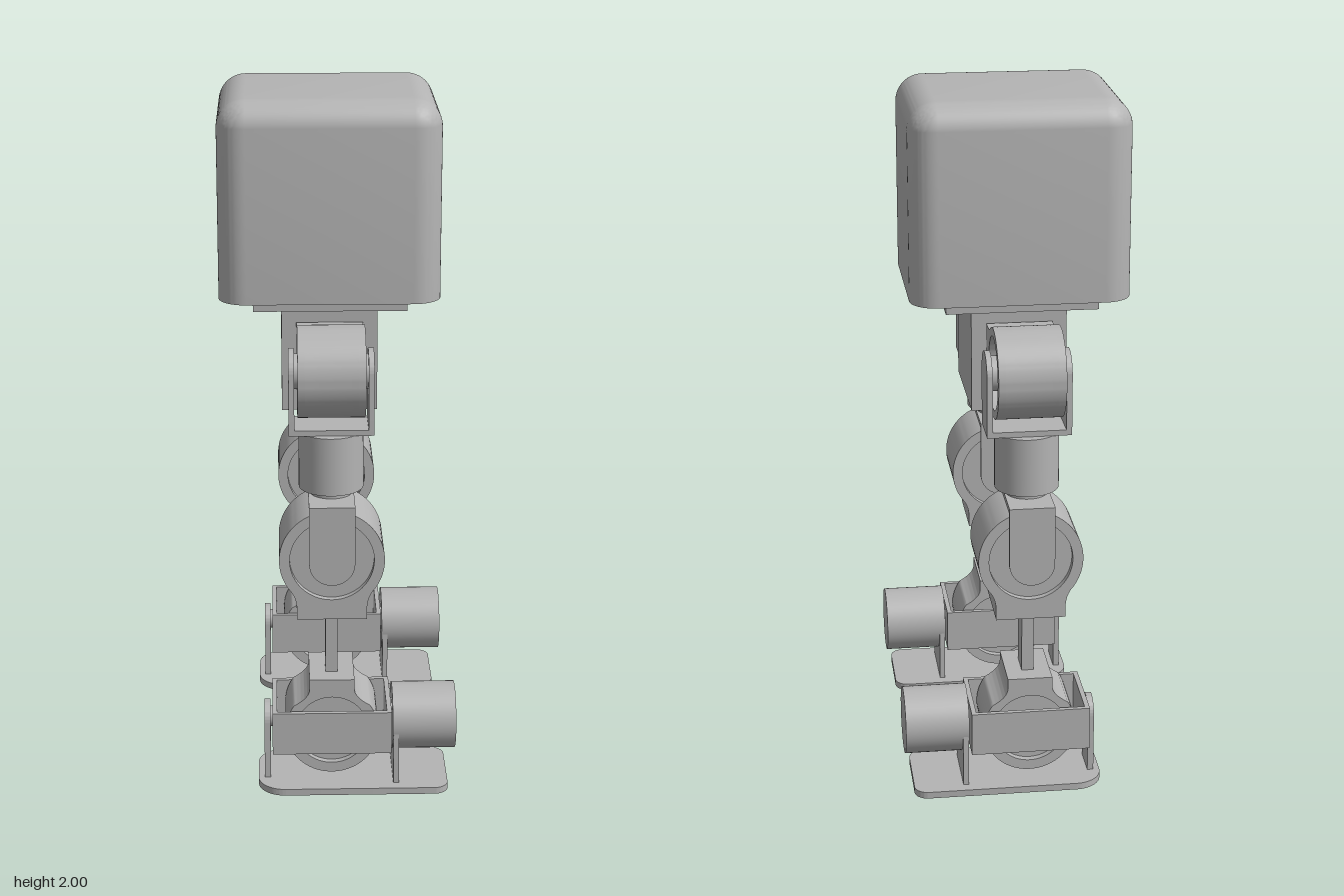
import * as THREE from 'three';
import { toCreasedNormals } from 'three/addons/utils/BufferGeometryUtils.js';
import { RoundedBoxGeometry } from 'three/addons/geometries/RoundedBoxGeometry.js';

const grey = new THREE.MeshStandardMaterial({ color: 0xb4b4b4 });
grey.name = 'plain grey';
const CX = -0.025; // centre line of the legs in x
const V = (x, y, z) => new THREE.Vector3(x, y, z);

function add(parent, name, geometry, x = 0, y = 0, z = 0) {
  const mesh = new THREE.Mesh(geometry, grey);
  mesh.name = name;
  mesh.position.set(x, y, z);
  parent.add(mesh);
  return mesh;
}

const box = (w, h, d) => new THREE.BoxGeometry(w, h, d);

function cylinder(r, length, axis) {
  const g = new THREE.CylinderGeometry(r, r, length, 48);
  if (axis === 'x') g.rotateZ(Math.PI / 2);
  if (axis === 'z') g.rotateX(Math.PI / 2);
  return g;
}

// Extrusion centred on z with smooth curves and sharp edges
function extrude(shape, depth) {
  const g = new THREE.ExtrudeGeometry(shape, { depth, bevelEnabled: false, curveSegments: 32 });
  g.translate(0, 0, -depth / 2);
  return toCreasedNormals(g, 0.5);
}

// Turn an object so that its y and z axes point along the given directions
function orient(object, y, z) {
  const x = new THREE.Vector3().crossVectors(y, z);
  object.quaternion.setFromRotationMatrix(new THREE.Matrix4().makeBasis(x, y, z));
}

// Round joint housing with a flared foot towards -y and a recess on each face
function housing(name, R, w, d, inner, depth) {
  const group = new THREE.Group();
  group.name = name;
  const a = 0.62;
  const px = R * Math.cos(a), py = -R * Math.sin(a);
  const outline = () => {
    const s = new THREE.Shape();
    s.moveTo(-w, -d);
    s.lineTo(w, -d);
    s.lineTo(w, -d + 0.03);
    s.quadraticCurveTo(w, py - 0.025, px, py);
    s.absarc(0, 0, R, -a, Math.PI + a, false);
    s.quadraticCurveTo(-w, py - 0.025, -w, -d + 0.03);
    s.closePath();
    return s;
  };
  const recess = 0.02;
  add(group, name + 'Core', extrude(outline(), depth - 2 * recess));
  const rim = outline();
  rim.holes.push(new THREE.Path().absarc(0, 0, inner, 0, Math.PI * 2, true));
  for (const s of [-1, 1]) {
    add(group, name + 'Rim', extrude(rim, recess), 0, 0, s * (depth - recess) / 2);
  }
  return group;
}

// Flat arm, rounded at the pivot and straight towards +y
function arm(r, length, thickness) {
  const s = new THREE.Shape();
  s.moveTo(r, length);
  s.lineTo(-r, length);
  s.lineTo(-r, 0);
  s.absarc(0, 0, r, Math.PI, Math.PI * 2, false);
  s.closePath();
  return extrude(s, thickness);
}

// U-shaped bracket: two arms, a bridge at +y and a pivot pin along z
function bracket(name, r, length, half, t) {
  const group = new THREE.Group();
  group.name = name;
  for (const s of [-1, 1]) {
    add(group, name + 'Arm', arm(r, length, t), 0, 0, s * (half - t / 2));
  }
  add(group, name + 'Bridge', box(2 * r, t, 2 * (half - t)), 0, length - t / 2, 0);
  add(group, name + 'Pin', cylinder(0.05, 2 * (half - t), 'z'));
  return group;
}

// Foot sole with a round heel and tighter toe corners, drawn in x and z
function sole() {
  const x0 = -0.24, x1 = 0.315, h = 0.129, a = 0.08, b = 0.04;
  const s = new THREE.Shape();
  s.absarc(x1 - b, -h + b, b, -Math.PI / 2, 0, false);
  s.absarc(x1 - b, h - b, b, 0, Math.PI / 2, false);
  s.absarc(x0 + a, h - a, a, Math.PI / 2, Math.PI, false);
  s.absarc(x0 + a, -h + a, a, Math.PI, Math.PI * 1.5, false);
  s.closePath();
  return extrude(s, 0.02).rotateX(-Math.PI / 2);
}

// Open rectangular frame around the ankle
function ankleFrame() {
  const w = 0.173, d = 0.121, t = 0.014;
  const s = new THREE.Shape();
  s.moveTo(-w, -d);
  s.lineTo(w, -d);
  s.lineTo(w, d);
  s.lineTo(-w, d);
  s.closePath();
  const hole = new THREE.Path();
  hole.moveTo(-w + t, -d + t);
  hole.lineTo(-w + t, d - t);
  hole.lineTo(w - t, d - t);
  hole.lineTo(w - t, -d + t);
  hole.closePath();
  s.holes.push(hole);
  return extrude(s, 0.13).rotateX(-Math.PI / 2);
}

function leg(side, name) {
  const g = new THREE.Group();
  g.name = name;
  g.position.z = side * 0.352;
  const down = V(0, -1, 0), alongX = V(1, 0, 0);

  // Hip
  add(g, 'hipRollDisc', cylinder(0.08, 0.02, 'z'), CX, 1.26, -side * 0.167);
  const hip = housing('hipHousing', 0.13, 0.095, 0.162, 0.105, 0.19);
  hip.position.set(CX, 1.26, 0);
  orient(hip, V(0, 0, side), alongX);
  const hipBracket = bracket('hipBracket', 0.065, 0.17, 0.12, 0.016);
  hipBracket.position.set(CX, 1.26, 0);
  orient(hipBracket, down, alongX);

  // Thigh
  add(g, 'thighMotor', cylinder(0.092, 0.17, 'y'), CX, 1.005, 0);
  add(g, 'thighCollar', cylinder(0.06, 0.03, 'y'), CX, 0.91, 0);

  // Knee
  const kneeBracket = bracket('kneeBracket', 0.065, 0.17, 0.132, 0.016);
  kneeBracket.position.set(CX, 0.73, 0);
  const knee = housing('kneeHousing', 0.15, 0.1, 0.18, 0.12, 0.21);
  knee.position.set(CX, 0.73, 0);
  add(g, 'shin', box(0.035, 0.2, 0.08), CX, 0.452, 0);

  // Ankle
  const ankle = housing('ankleHousing', 0.135, 0.065, 0.16, 0.105, 0.194);
  ankle.position.set(CX, 0.195, 0);
  ankle.rotation.z = Math.PI;
  g.add(hip, hipBracket, kneeBracket, knee, ankle);
  add(g, 'ankleFrame', ankleFrame(), CX, 0.195, 0);
  add(g, 'anklePin', cylinder(0.05, 0.22, 'z'), CX, 0.195, 0);

  // Foot
  add(g, 'sole', sole(), 0, 0.01, 0);
  orient(add(g, 'heelUpright', arm(0.05, 0.175, 0.018), -0.213, 0.195, 0), down, alongX);
  add(g, 'heelPin', cylinder(0.03, 0.02, 'x'), -0.2, 0.195, 0);
  orient(add(g, 'toeUpright', arm(0.096, 0.175, 0.016), 0.163, 0.195, 0), down, alongX);
  add(g, 'toePin', cylinder(0.05, 0.01, 'x'), 0.151, 0.195, 0);
  add(g, 'ankleMotor', cylinder(0.098, 0.185, 'x'), 0.245, 0.195, 0);
  return g;
}

// Body with rounded top and sides; the lower rounding is pressed flat
function bodyShell() {
  const r = 0.08, h = 0.57;
  const g = new RoundedBoxGeometry(0.63, h + r, 0.546, 8, r);
  g.translate(0, (h - r) / 2, 0);
  const p = g.attributes.position;
  for (let i = 0; i < p.count; i++) p.setY(i, Math.max(p.getY(i), 0));
  return toCreasedNormals(g, 0.6);
}

export function createModel() {
  const model = new THREE.Group();
  model.name = 'walkingRobot';
  add(model, 'body', bodyShell(), CX, 1.43, 0);
  add(model, 'waistPlate', box(0.435, 0.024, 0.525), CX, 1.42, 0);
  add(model, 'hipBlock', box(0.275, 0.32, 0.366), CX, 1.25, 0);
  model.add(leg(1, 'frontLeg'), leg(-1, 'backLeg'));
  return model;
}
